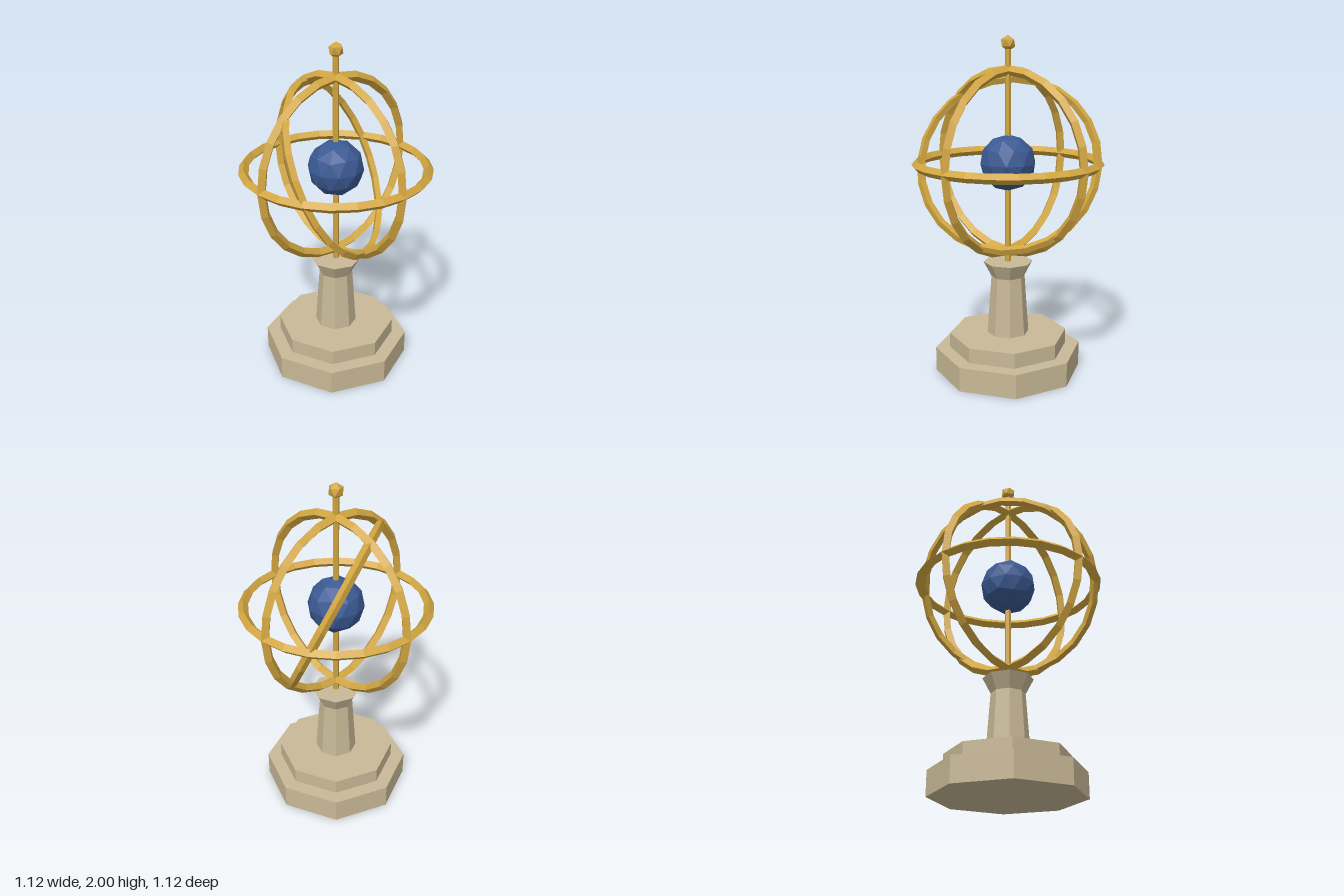
import * as THREE from 'three';

const flat = (name, color) => {
  const m = new THREE.MeshStandardMaterial({ color, flatShading: true });
  m.name = name;
  return m;
};

export function createModel() {
  const stone = flat('stone', 0xc8b896);
  const gold = flat('gold', 0xd2a641);
  const blue = flat('blue', 0x3b5a94);

  const model = new THREE.Group();
  model.name = 'armillarySphere';
  const add = (name, geometry, material, y) => {
    const mesh = new THREE.Mesh(geometry, material);
    mesh.name = name;
    mesh.position.y = y;
    model.add(mesh);
    return mesh;
  };

  // Tapered prism standing between two heights
  const prism = (name, material, sides, rTop, rBottom, y0, y1) =>
    add(name, new THREE.CylinderGeometry(rTop, rBottom, y1 - y0, sides), material, (y0 + y1) / 2);

  // Octagonal pedestal
  prism('lowerPlinth', stone, 8, 0.44, 0.44, 0, 0.145);
  prism('upperPlinth', stone, 8, 0.355, 0.355, 0.145, 0.235);
  prism('column', stone, 8, 0.1, 0.125, 0.235, 0.59);
  prism('capital', stone, 8, 0.147, 0.1, 0.59, 0.68);

  // Axis rod through the globe
  prism('axisRod', gold, 6, 0.018, 0.018, 0.67, 1.93);

  // Faceted balls with a corner at each pole
  const ball = (radius, detail) =>
    new THREE.IcosahedronGeometry(radius, detail).rotateZ(-Math.atan(2 / (1 + Math.sqrt(5))));
  const centre = 1.274;
  add('globe', ball(0.165, 1), blue, centre);
  add('finial', ball(0.045, 0), gold, 1.955);

  // Rings with a diamond cross-section
  const ring = (name, radius, tube, rx, ry) => {
    const mesh = add(name, new THREE.TorusGeometry(radius, tube, 4, 24), gold, centre);
    mesh.rotation.set(rx, ry, 0, 'YXZ');
  };
  ring('frontMeridianRing', 0.53, 0.029, 0, 0);
  ring('sideMeridianRing', 0.53, 0.029, 0, Math.PI / 2);
  ring('horizonRing', 0.53, 0.029, -Math.PI / 2, 0);
  ring('tiltedRing', 0.521, 0.025, THREE.MathUtils.degToRad(-25), THREE.MathUtils.degToRad(30));

  return model;
}
